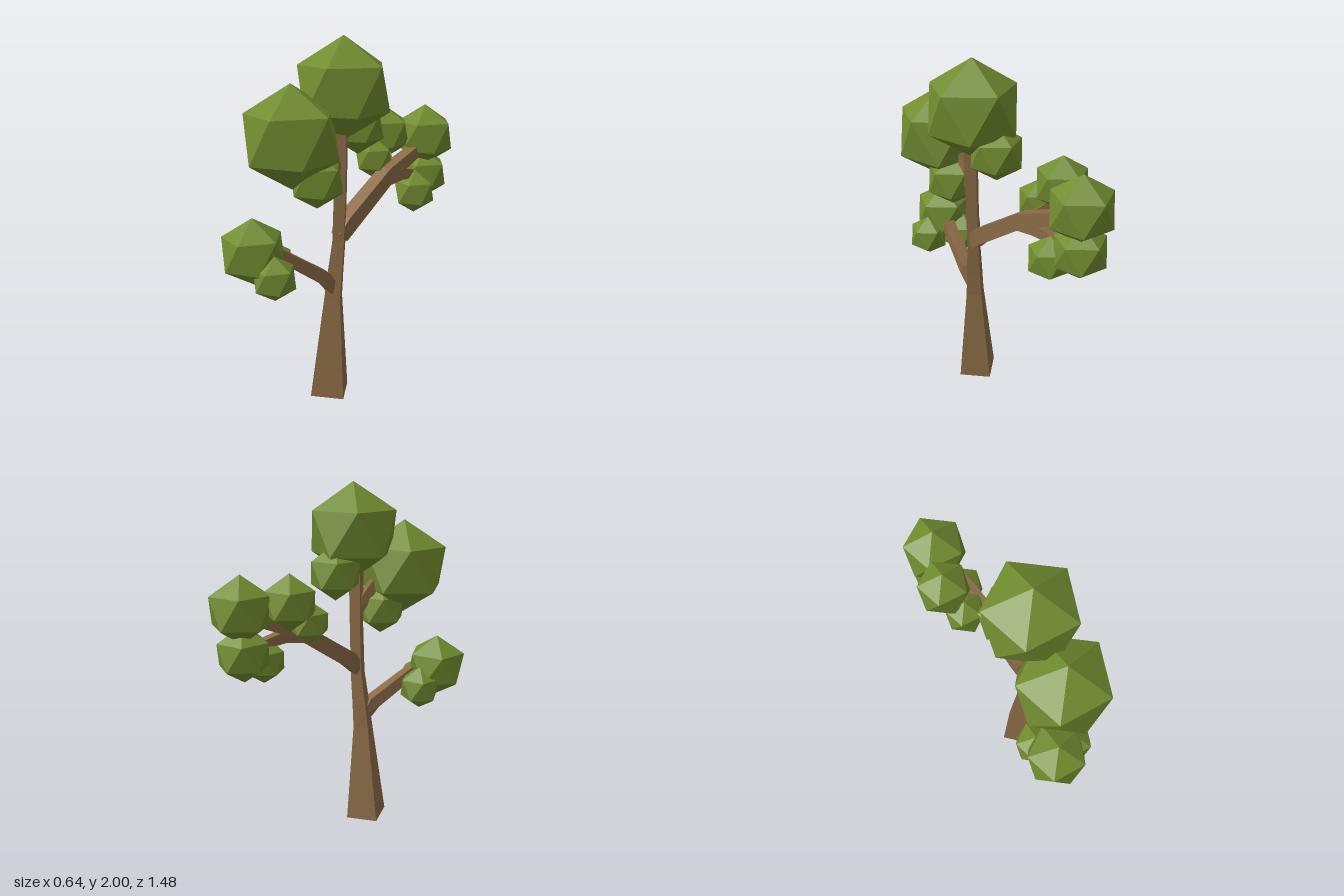
import * as THREE from 'three';

const bark = new THREE.MeshStandardMaterial({ color: 0x8a6a45, flatShading: true });
const leaf = new THREE.MeshStandardMaterial({ color: 0x718c2f, flatShading: true });

// Square-section limb through points [x, y, z, corner radius]
function limb(name, pts, ref, twist) {
  const p = pts.map(q => new THREE.Vector3(q[0], q[1], q[2]));
  const pos = [], idx = [];
  p.forEach((c, i) => {
    const t = p[Math.min(i + 1, p.length - 1)].clone().sub(p[Math.max(i - 1, 0)]).normalize();
    const u = ref.clone().cross(t).normalize();
    const v = t.clone().cross(u);
    for (let j = 0; j < 4; j++) {
      const a = twist + j * Math.PI / 2;
      const k = c.clone().addScaledVector(u, Math.cos(a) * pts[i][3]).addScaledVector(v, Math.sin(a) * pts[i][3]);
      pos.push(k.x, k.y, k.z);
    }
  });
  for (let i = 0; i < p.length - 1; i++) {
    for (let j = 0; j < 4; j++) {
      const a = i * 4 + j, b = i * 4 + (j + 1) % 4;
      idx.push(a, b, b + 4, a, b + 4, a + 4);
    }
  }
  const e = (p.length - 1) * 4;
  idx.push(0, 2, 1, 0, 3, 2, e, e + 1, e + 2, e, e + 2, e + 3);
  const g = new THREE.BufferGeometry();
  g.setAttribute('position', new THREE.Float32BufferAttribute(pos, 3));
  g.setIndex(idx);
  const flat = g.toNonIndexed();
  flat.computeVertexNormals();
  const m = new THREE.Mesh(flat, bark);
  m.name = name;
  return m;
}

export function createModel() {
  const tree = new THREE.Group();
  tree.name = 'tree';
  const up = new THREE.Vector3(0, 1, 0), front = new THREE.Vector3(0, 0, 1);

  // Trunk: flared base, slim upper part
  tree.add(limb('trunk', [
    [0.018, 0.005, 0.188, 0.131], [0.04, 0.59, 0.175, 0.062], [0.05, 0.73, 0.167, 0.055],
    [0.066, 0.92, 0.155, 0.045], [0.075, 1.2, 0.152, 0.043], [0.08, 1.58, 0.15, 0.046],
  ], front, -0.25));

  // Branches and twigs
  const q = Math.PI / 4;
  const branches = {
    frontBranch: [[0.045, 0.64, 0.185, 0.04], [0.03, 0.725, 0.245, 0.052], [-0.095, 0.94, 0.53, 0.042]],
    frontTwig: [[-0.04, 0.84, 0.4, 0.035], [-0.13, 0.84, 0.44, 0.025]],
    backBranch: [[0.065, 0.94, 0.15, 0.05], [0.075, 1.01, 0.09, 0.063], [0.11, 1.225, -0.23, 0.058],
      [0.135, 1.33, -0.5, 0.045]],
    backLowerTwig: [[0.105, 1.19, -0.19, 0.045], [0.13, 1.21, -0.32, 0.045], [0.14, 1.18, -0.5, 0.03]],
    backUpperTwig: [[0.11, 1.24, -0.25, 0.04], [0.04, 1.3, -0.32, 0.035], [0, 1.39, -0.37, 0.03]],
    crownBranch: [[0.075, 1.28, 0.155, 0.035], [0.06, 1.36, 0.2, 0.04], [0.01, 1.52, 0.31, 0.035]],
  };
  for (const [name, pts] of Object.entries(branches)) tree.add(limb(name, pts, up, q));

  // Foliage: icosahedra standing on a point, one upper corner towards +x
  const ico = new THREE.IcosahedronGeometry(1, 0);
  ico.rotateX(-Math.atan((1 + Math.sqrt(5)) / 2));
  ico.rotateY(Math.PI / 2);
  const clumps = [
    ['crownTop', 0.082, 1.734, 0.13, 0.266],
    ['crownFront', -0.008, 1.517, 0.435, 0.266],
    ['crownLower', 0.05, 1.287, 0.315, 0.153],
    ['crownBack', 0.065, 1.524, -0.012, 0.155],
    ['backLarge', 0.127, 1.394, -0.583, 0.182],
    ['backInner', -0.01, 1.425, -0.377, 0.151],
    ['backSmall', 0.005, 1.3, -0.245, 0.118],
    ['backLow', 0.122, 1.162, -0.583, 0.154],
    ['backLowInner', 0.163, 1.088, -0.433, 0.128],
    ['frontLarge', -0.156, 0.927, 0.583, 0.182],
    ['frontSmall', -0.01, 0.815, 0.583, 0.122],
    ['frontInner', -0.162, 0.82, 0.44, 0.125],
  ];
  for (const [name, x, y, z, r] of clumps) {
    const m = new THREE.Mesh(ico, leaf);
    m.name = name + 'Foliage';
    m.position.set(x, y, z);
    m.scale.setScalar(r);
    tree.add(m);
  }
  return tree;
}
